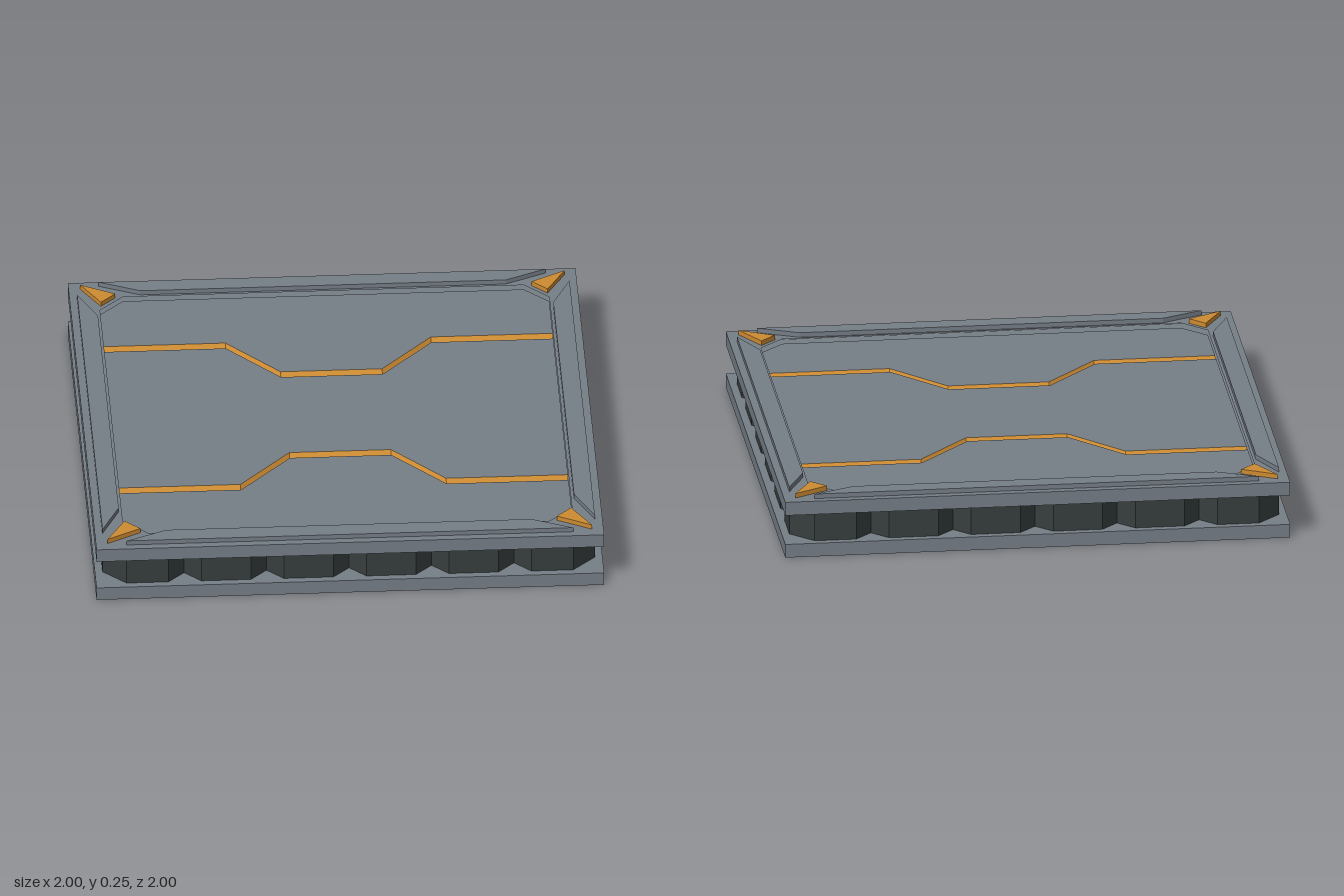
import * as THREE from 'three';

const steel = new THREE.MeshStandardMaterial({ name: 'steelGrey', color: 0x767e87 });
const orange = new THREE.MeshStandardMaterial({ name: 'signalOrange', color: 0xcd8b32 });
const dark = new THREE.MeshStandardMaterial({ name: 'darkCore', color: 0x373e3e });

const toVec = (pts) => pts.map(([x, z]) => new THREE.Vector2(x, -z));

// Upright prism over an outline given as [x, z] points
function slab(name, pts, y0, y1, material, hole) {
  const shape = new THREE.Shape(toVec(pts));
  if (hole) shape.holes.push(new THREE.Path(toVec(hole)));
  const geo = new THREE.ExtrudeGeometry(shape, { depth: y1 - y0, bevelEnabled: false });
  geo.rotateX(-Math.PI / 2).translate(0, y0, 0);
  const mesh = new THREE.Mesh(geo, material);
  mesh.name = name;
  return mesh;
}

const H = 0.885, C = 0.79, GROOVE = 0.02, THICK = 0.055;
const square = [[-1, -1], [1, -1], [1, 1], [-1, 1]];
const octagon = [[-C, -H], [C, -H], [H, -C], [H, C], [C, H], [-C, H], [-H, C], [-H, -C]];

// Stepped line across the panel; side is -1 at the back, 1 at the front
const line = (side, dz) => [[-H, 0.53], [-0.405, 0.53], [-0.2, 0.303], [0.2, 0.303], [0.405, 0.53], [H, 0.53]]
  .map(([x, z]) => [x, side * z + dz]);

// Two sloping walls that meet in a V below the panel
function groove(side, top, bottom, material) {
  const pos = [];
  const back = line(side, -GROOVE), mid = line(side, 0), front = line(side, GROOVE);
  const quad = (a, b, c, d) => pos.push(...a, ...b, ...c, ...a, ...c, ...d);
  const at = ([x, z], y) => [x, y, z];
  for (let i = 0; i < mid.length - 1; i++) {
    quad(at(back[i], top), at(mid[i], bottom), at(mid[i + 1], bottom), at(back[i + 1], top));
    quad(at(mid[i], bottom), at(front[i], top), at(front[i + 1], top), at(mid[i + 1], bottom));
  }
  const geo = new THREE.BufferGeometry();
  geo.setAttribute('position', new THREE.Float32BufferAttribute(pos, 3));
  geo.computeVertexNormals();
  const mesh = new THREE.Mesh(geo, material);
  mesh.name = side < 0 ? 'backGroove' : 'frontGroove';
  return mesh;
}

// Square plate with a recessed, grooved panel on its outer face
function plate(name, recess, grooveMaterial) {
  const g = new THREE.Group();
  g.name = name;
  const top = THICK - recess, base = 0.012;
  g.add(slab('plateBase', square, 0, base, steel));
  g.add(slab('plateRim', square, base, THICK, steel, octagon));
  g.add(slab('backPanel', [[-H, -C], [-C, -H], [C, -H], [H, -C], ...line(-1, -GROOVE).reverse()], base, top, steel));
  g.add(slab('middlePanel', [...line(-1, GROOVE), ...line(1, -GROOVE).reverse()], base, top, steel));
  g.add(slab('frontPanel', [...line(1, GROOVE), [H, C], [C, H], [-C, H], [-H, C]], base, top, steel));
  for (const side of [-1, 1]) g.add(groove(side, top, top - 0.02, grooveMaterial));
  return g;
}

// Core outline: four equal sides with V notches and cut corners
function coreOutline() {
  const R = 0.97, cut = 0.88, pts = [];
  const edge = [[-cut, R]];
  for (let i = -2; i <= 2; i++) {
    const c = i * 0.325;
    edge.push([c - 0.065, R], [c, R - 0.065], [c + 0.065, R]);
  }
  edge.push([cut, R]);
  for (let k = 0; k < 4; k++) {
    const s = Math.round(Math.sin(k * Math.PI / 2)), c = Math.round(Math.cos(k * Math.PI / 2));
    for (const [x, z] of edge) pts.push([x * c + z * s, z * c - x * s]);
  }
  return pts;
}

export function createModel() {
  const model = new THREE.Group();
  model.name = 'floorTile';

  const bottom = plate('bottomPlate', 0.01, steel);
  bottom.rotation.z = Math.PI;
  bottom.position.y = THICK;
  model.add(bottom);

  model.add(slab('notchedCore', coreOutline(), THICK, 0.176, dark));

  const upper = plate('topPlate', 0.02, orange);
  upper.position.y = 0.176;
  model.add(upper);

  // Raised edge strips and corner arrows, one of each per side
  for (let k = 0; k < 4; k++) {
    const strip = slab('edgeStrip', [[-0.88, 0.97], [0.88, 0.97], [0.72, 0.897], [-0.72, 0.897]], 0.23, 0.25, steel);
    const arrow = slab('cornerArrow', [[0.955, 0.955], [0.82, 0.88], [0.88, 0.82]], 0.23, 0.25, orange);
    for (const part of [strip, arrow]) {
      part.rotation.y = k * Math.PI / 2;
      model.add(part);
    }
  }
  return model;
}
